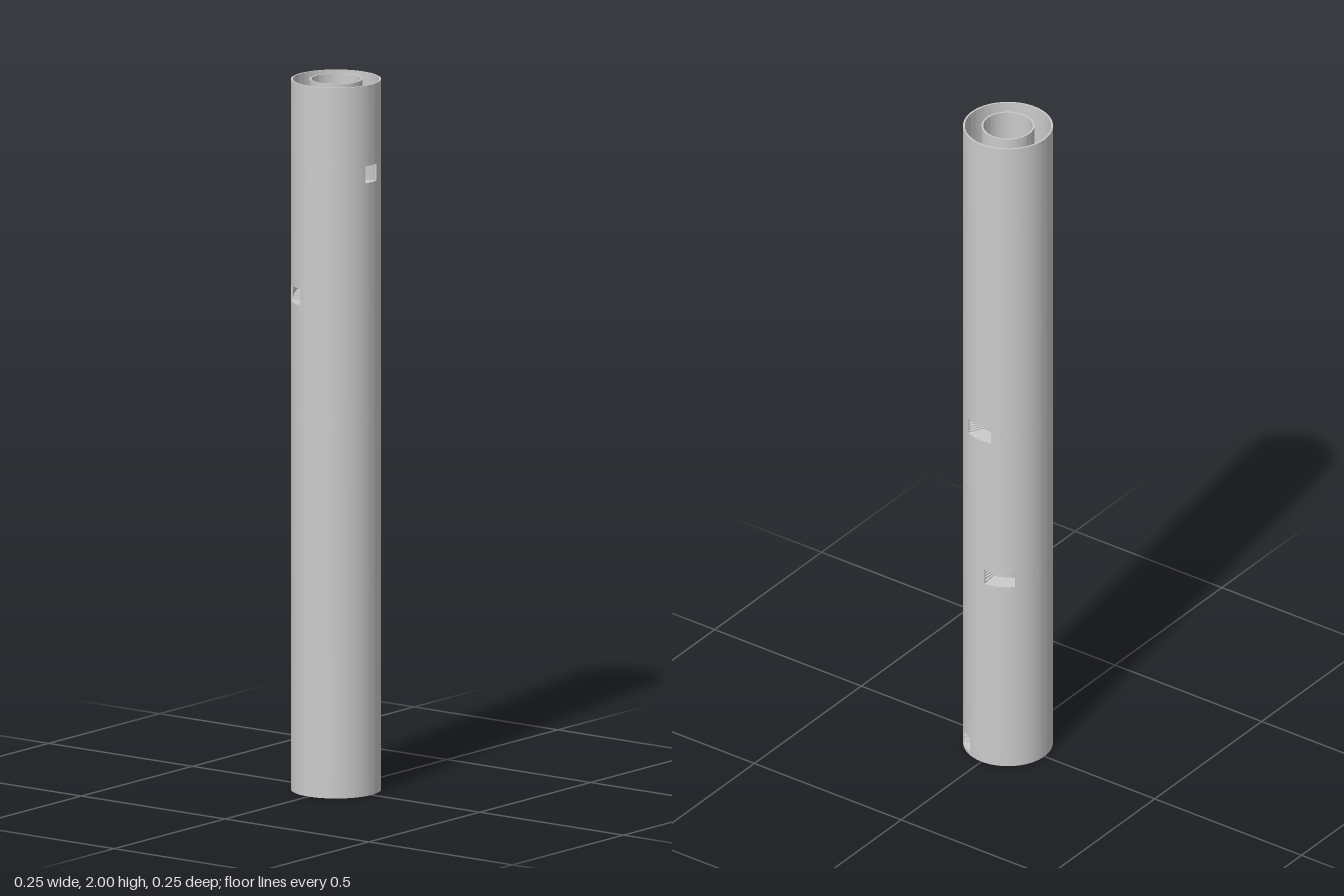
import * as THREE from 'three';
import { mergeGeometries, toCreasedNormals } from 'three/addons/utils/BufferGeometryUtils.js';

const RAD = Math.PI / 180;
const OUTER = 0.124, OUTER_IN = 0.119, CORE = 0.073, CORE_IN = 0.068;

// Ring sector between two radii; angles in degrees run from +x towards +z
function sector(rIn, rOut, a0, a1, y0, y1, segments) {
  const shape = new THREE.Shape();
  shape.absarc(0, 0, rOut, a0 * RAD, a1 * RAD, false);
  shape.absarc(0, 0, rIn, a1 * RAD, a0 * RAD, true);
  shape.closePath();
  const geo = new THREE.ExtrudeGeometry(shape, {
    depth: y1 - y0, bevelEnabled: false,
    curveSegments: segments ?? Math.max(2, Math.ceil((a1 - a0) / 4)),
  });
  return geo.rotateX(Math.PI / 2).translate(0, y1, 0);
}

// Openings of the outer wall; turn is the angle climbed along the stair
const openings = [
  { turn: 35, width: 26, y0: 0.01, y1: 0.056 },
  { turn: 1055, width: 41, y0: 0.58, y1: 0.626 },
  { turn: 1806, width: 40, y0: 1.04, y1: 1.087 },
  { turn: 2375, width: 40, y0: 1.378, y1: 1.424 },
  { turn: 2970, width: 23, y0: 1.725, y1: 1.773 },
];

function outerWall() {
  const parts = [];
  let y = 0;
  for (const o of openings) {
    const c = o.turn % 360;
    parts.push(sector(OUTER_IN, OUTER, 0, 360, y, o.y0, 120));
    parts.push(sector(OUTER_IN, OUTER, c + o.width / 2, c + 360 - o.width / 2, o.y0, o.y1));
    y = o.y1;
  }
  parts.push(sector(OUTER_IN, OUTER, 0, 360, y, 2, 120));
  return toCreasedNormals(mergeGeometries(parts), 0.6);
}

// Spiral flights joining the openings, with short landings on the way
function stairs() {
  const parts = [];
  const slab = 0.008, step = 4;
  const tread = (a0, a1, y) =>
    parts.push(sector(CORE, OUTER_IN, a0, a1, Math.max(0.001, y - slab), y));
  openings.forEach((o, i) => {
    const half = o.width / 2;
    tread(o.turn - half, o.turn + half, o.y0);
    const next = openings[i + 1];
    if (!next) return;
    const start = o.turn + half, end = next.turn - next.width / 2;
    // Treads with a wider one after every twentieth
    const spans = [];
    for (let a = start, n = 1; a < end - 0.5; n++) {
      const b = Math.min(end, a + (n % 20 === 0 ? 24 : step));
      spans.push([a, b]);
      a = b;
    }
    const rise = (next.y0 - o.y0) / (spans.length + 1);
    spans.forEach(([a, b], k) => tread(a, b, o.y0 + rise * (k + 1)));
  });
  return toCreasedNormals(mergeGeometries(parts), 0.4);
}

export function createModel() {
  const group = new THREE.Group();
  const material = new THREE.MeshStandardMaterial({ color: 0xcccccc });
  const add = (name, geo) => {
    const mesh = new THREE.Mesh(geo, material);
    mesh.name = name;
    group.add(mesh);
  };
  add('outerWall', outerWall());
  add('innerTube', toCreasedNormals(sector(CORE_IN, CORE, 0, 360, 0, 2, 96), 0.6));
  add('spiralStairs', stairs());
  return group;
}
